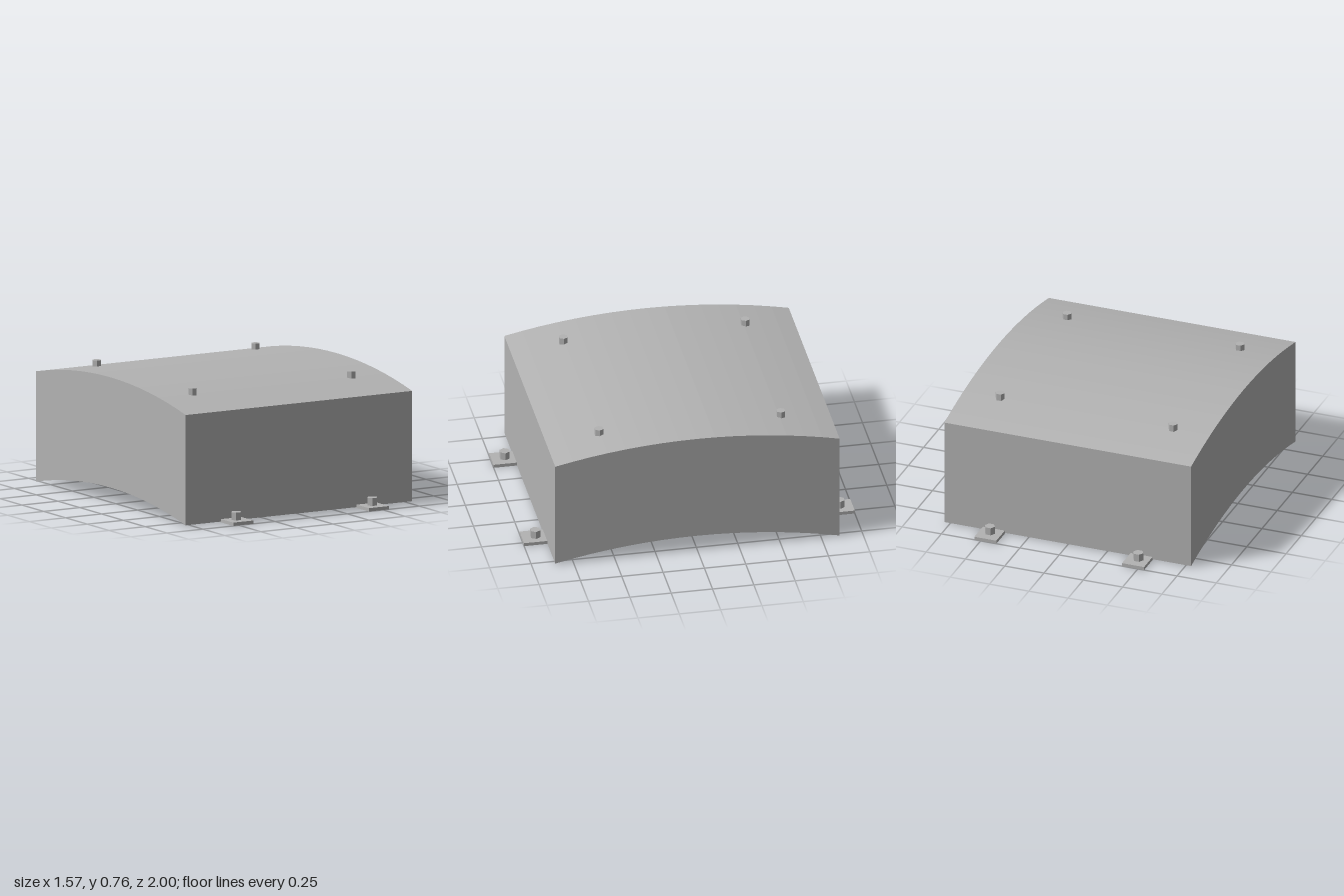
import * as THREE from 'three';

const HALF_W = 0.785, HALF_D = 0.86, RISE = 0.095, SEGMENTS = 16;

export function createModel() {
  const group = new THREE.Group();
  const grey = new THREE.MeshStandardMaterial({ color: 0xb3b3b3, flatShading: true });
  grey.name = 'plain grey';

  const add = (name, geometry, x = 0, y = 0, z = 0) => {
    const mesh = new THREE.Mesh(geometry, grey);
    mesh.name = name;
    mesh.position.set(x, y, z);
    group.add(mesh);
  };

  // Points along a shallow circular arc that peaks in the middle
  const radius = (HALF_D ** 2 + RISE ** 2) / (2 * RISE);
  const halfAngle = Math.asin(HALF_D / radius);
  const arc = (peak) => Array.from({ length: SEGMENTS + 1 }, (_, i) => {
    const a = halfAngle * (2 * i / SEGMENTS - 1);
    return new THREE.Vector2(radius * Math.sin(a), peak - radius * (1 - Math.cos(a)));
  });

  // Arched block: side profile extruded across the width
  const profile = new THREE.Shape([...arc(0.1), ...arc(0.765).reverse()]);
  const body = new THREE.ExtrudeGeometry(profile, { depth: HALF_W * 2, bevelEnabled: false });
  body.translate(0, 0, -HALF_W).rotateY(Math.PI / 2);
  add('archedBody', body);

  // Hexagonal bolts with corners pointing sideways
  const hexBolt = (r, h) => new THREE.CylinderGeometry(r, r, h, 6).rotateY(Math.PI / 2);
  const footBolt = hexBolt(0.032, 0.05);
  const topBolt = hexBolt(0.028, 0.045);
  const foot = new THREE.BoxGeometry(0.14, 0.02, 0.165);

  for (const sx of [-1, 1]) {
    for (const sz of [-1, 1]) {
      add('mountingFoot', foot, sx * 0.47, 0.01, sz * 0.9175);
      add('footBolt', footBolt, sx * 0.472, 0.042, sz * 0.92);
      add('topBolt', topBolt, sx * 0.55, 0.7425, sz * 0.55);
    }
  }
  return group;
}
